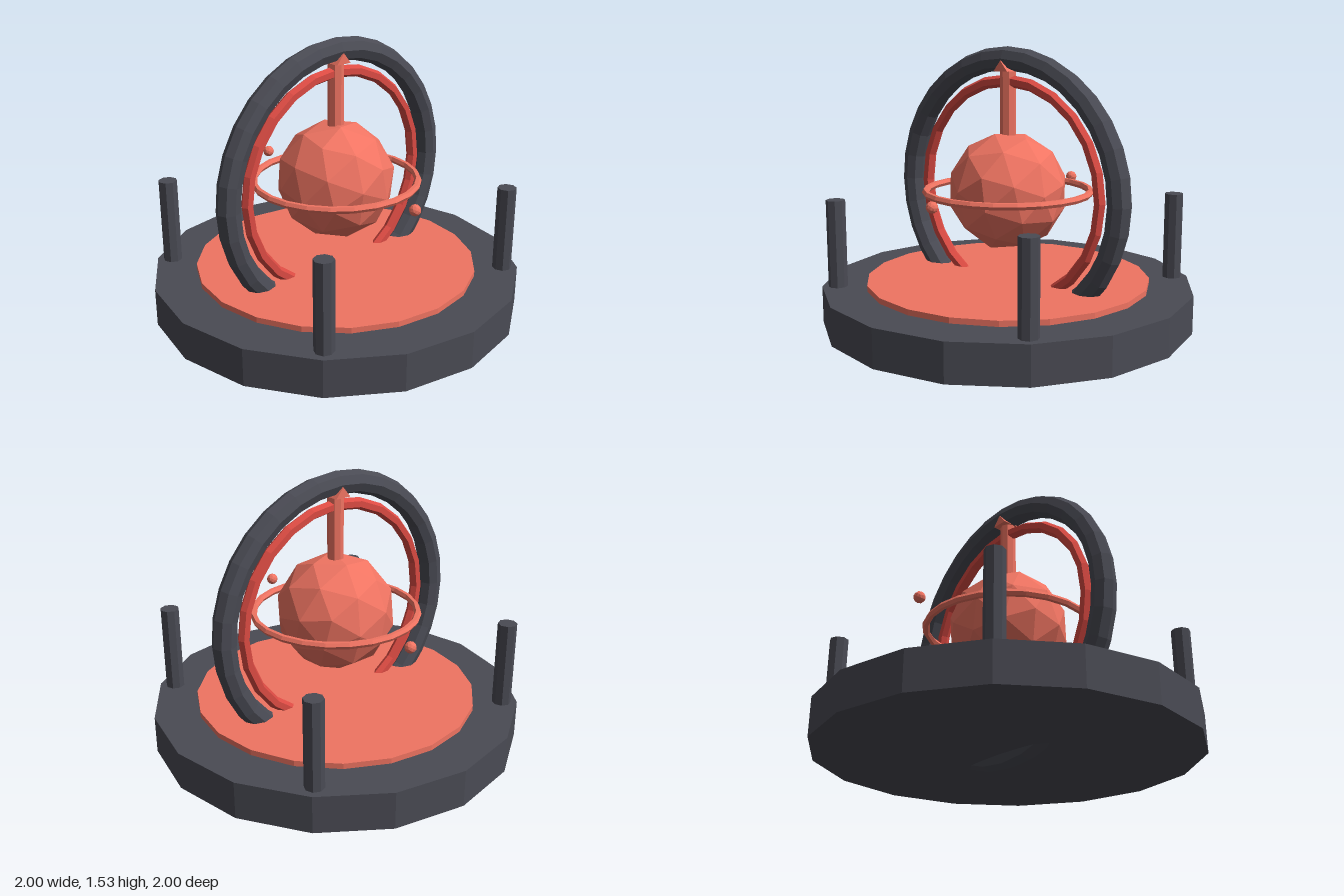
import * as THREE from 'three';

const mat = (color) => new THREE.MeshStandardMaterial({ color, flatShading: true });

export function createModel() {
  const model = new THREE.Group();
  const dark = mat(0x4a4b54), coral = mat(0xf07462), red = mat(0xdc4b43);
  const centerY = 0.775;

  const add = (name, geometry, material, x = 0, y = 0, z = 0) => {
    const mesh = new THREE.Mesh(geometry, material);
    mesh.name = name;
    mesh.position.set(x, y, z);
    model.add(mesh);
    return mesh;
  };
  // Upright prism between two heights
  const column = (name, radius, y0, y1, sides, material, x = 0, z = 0) =>
    add(name, new THREE.CylinderGeometry(radius, radius, y1 - y0, sides), material, x, (y0 + y1) / 2, z);

  // Base plate and inlaid disc
  column('base', 1, 0.07, 0.272, 16, dark);
  column('baseDisc', 0.765, 0.24, 0.302, 20, coral);

  // Four corner posts
  for (const x of [-0.647, 0.647])
    for (const z of [-0.647, 0.647]) column('post', 0.051, 0.25, 0.742, 8, dark, x, z);

  // Upright rings, sunk into the base
  add('outerRing', new THREE.TorusGeometry(0.703, 0.0625, 8, 32), dark, 0, centerY);
  add('innerRing', new THREE.TorusGeometry(0.588, 0.032, 6, 24), red, 0, centerY);

  // Level ring around the core
  add('levelRing', new THREE.TorusGeometry(0.441, 0.0195, 6, 24), coral, 0, centerY).rotation.x = Math.PI / 2;

  // Faceted core
  add('core', new THREE.IcosahedronGeometry(0.32, 1), coral, 0, centerY).rotation.set(0.2, 0.3, 0.1);

  // Needle rising from the core, with a pointed tip seated in the outer ring
  column('needle', 0.043, 1.04, 1.43, 8, coral);
  const tip = new THREE.Shape([
    new THREE.Vector2(-0.046, 1.412), new THREE.Vector2(0.046, 1.412), new THREE.Vector2(0, 1.468),
  ]);
  add('needleTip', new THREE.ExtrudeGeometry(tip, { depth: 0.128, bevelEnabled: false }), coral, 0, 0, -0.064);

  // Small beads in front and behind
  for (const z of [-0.587, 0.587])
    add('bead', new THREE.IcosahedronGeometry(0.031, 1), coral, 0, centerY, z);

  return model;
}
